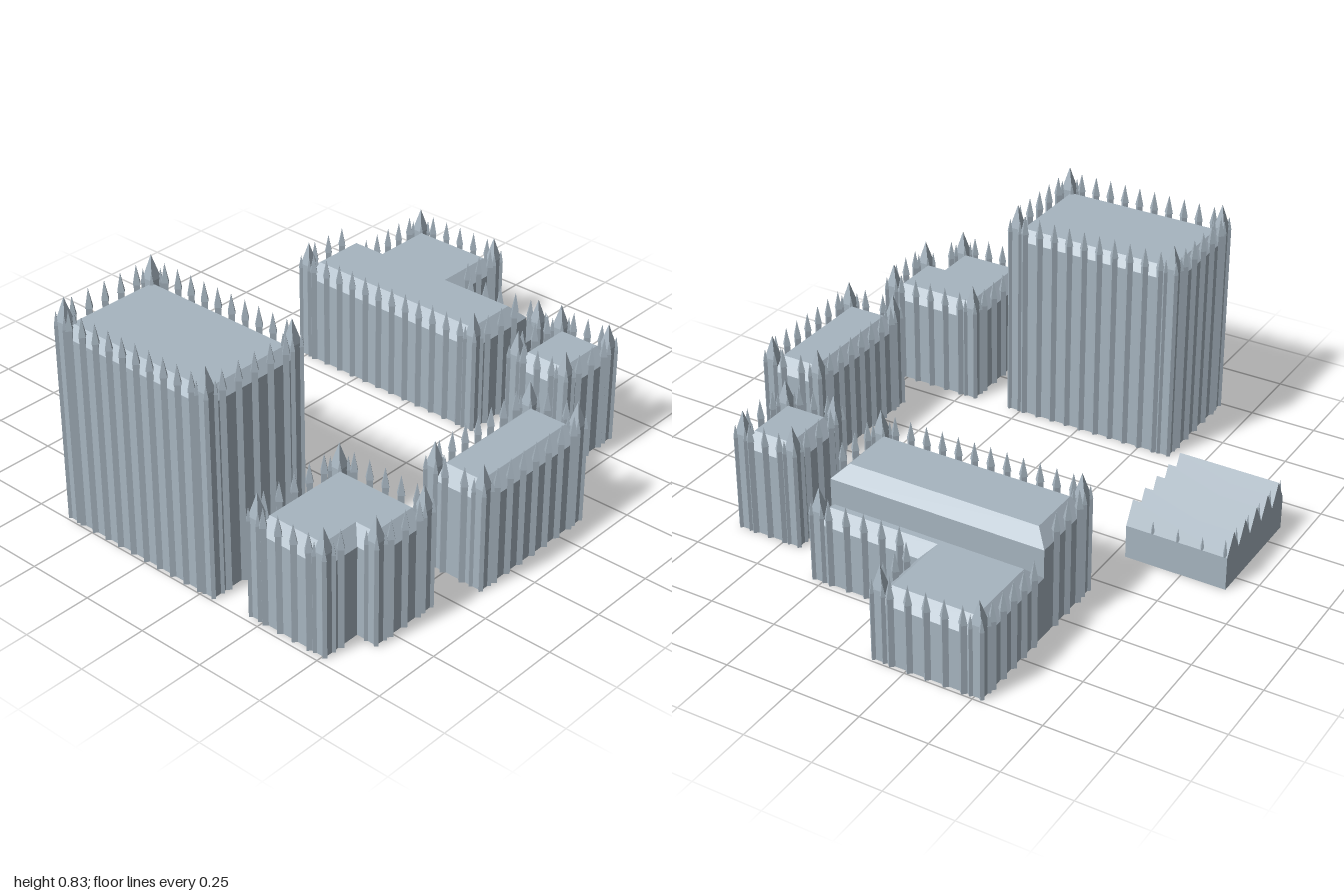
import * as THREE from 'three';
import { mergeGeometries } from 'three/addons/utils/BufferGeometryUtils.js';

const stone = new THREE.MeshStandardMaterial({ color: 0xa7b5c0, side: THREE.DoubleSide });
stone.name = 'blueGreyStone';

// Unindexed geometry with flat normals, from a list of [x, y, z] triangles' corners
function fromCorners(corners) {
  const g = new THREE.BufferGeometry();
  g.setAttribute('position', new THREE.Float32BufferAttribute(corners.flat(), 3));
  g.computeVertexNormals();
  return g;
}

function flat(g) {
  const f = g.toNonIndexed();
  f.deleteAttribute('uv');
  f.computeVertexNormals();
  return f;
}

function mesh(geometry, name) {
  const m = new THREE.Mesh(geometry, stone);
  m.name = name;
  return m;
}

// Four-sided shaft with a pointed cap
function pinnacle(x, z, shaftR, capR, y0, y1, tip, turn = 0) {
  const shaft = new THREE.CylinderGeometry(shaftR, shaftR, y1 - y0, 4, 1, true);
  const cap = new THREE.ConeGeometry(capR, tip - y1, 4);
  shaft.translate(0, (y0 + y1) / 2, 0);
  cap.translate(0, (y1 + tip) / 2, 0);
  return [shaft, cap].map(g => flat(g.rotateY(turn).translate(x, 0, z)));
}

// Move every corner of a right-angled outline inwards by d
function inset(pts, d) {
  const n = pts.length;
  const normal = (a, b) => {
    const l = Math.hypot(b[0] - a[0], b[1] - a[1]);
    return [(b[1] - a[1]) / l, -(b[0] - a[0]) / l];
  };
  return pts.map((p, i) => {
    const u = normal(pts[(i + n - 1) % n], p), v = normal(p, pts[(i + 1) % n]);
    return [p[0] + d * (u[0] + v[0]), p[1] + d * (u[1] + v[1])];
  });
}

// Walls, chamfered roof and floor over an outline of [x, z], anticlockwise from above
function bodyGeometry(pts, eave, chamfer) {
  const top = inset(pts, chamfer);
  const loops = [[pts, 0], [pts, eave], [top, eave + chamfer]];
  const at = (k, i) => [loops[k][0][i][0], loops[k][1], loops[k][0][i][1]];
  const out = [];
  for (let k = 0; k < 2; k++) {
    for (let i = 0; i < pts.length; i++) {
      const j = (i + 1) % pts.length;
      out.push(at(k, i), at(k, j), at(k + 1, j), at(k, i), at(k + 1, j), at(k + 1, i));
    }
  }
  const faces = THREE.ShapeUtils.triangulateShape(pts.map(p => new THREE.Vector2(p[0], -p[1])), []);
  for (const [a, b, c] of faces) out.push(at(2, a), at(2, b), at(2, c), at(0, a), at(0, c), at(0, b));
  return fromCorners(out);
}

// A building with pinnacles along its walls and heavier ones at outer corners
function building(name, pts, eave, chamfer, plainEdge = -1) {
  const group = new THREE.Group();
  group.name = name;
  group.add(mesh(bodyGeometry(pts, eave, chamfer), 'wallsAndRoof'));
  const n = pts.length, ribs = [], towers = [], centres = inset(pts, 0.02);
  pts.forEach((a, i) => {
    const b = pts[(i + 1) % n], p = pts[(i + n - 1) % n];
    // Ribs along the wall
    if (i !== plainEdge) {
      const steps = Math.floor(Math.hypot(b[0] - a[0], b[1] - a[1]) / 0.06);
      for (let k = 1; k < steps; k++) {
        const t = k / steps;
        ribs.push(...pinnacle(a[0] + (b[0] - a[0]) * t, a[1] + (b[1] - a[1]) * t,
          0.014, 0.017, 0, eave + 0.035, eave + 0.105));
      }
    }
    // Corner tower with four small points around its spire
    const convex = (a[0] - p[0]) * (a[1] - b[1]) - (p[1] - a[1]) * (b[0] - a[0]) > 0;
    if (!convex || i === plainEdge || i === (plainEdge + 1) % n && plainEdge >= 0) return;
    const [x, z] = centres[i];
    towers.push(...pinnacle(x, z, 0.03, 0.03, 0, eave + 0.045, eave + 0.13, Math.PI / 4));
    for (const sx of [-1, 1]) for (const sz of [-1, 1]) {
      towers.push(...pinnacle(x + sx * 0.02, z + sz * 0.02, 0.01, 0.011, 0, eave + 0.03, eave + 0.08));
    }
  });
  group.add(mesh(mergeGeometries(ribs), 'wallPinnacles'));
  group.add(mesh(mergeGeometries(towers), 'cornerTowers'));
  return group;
}

const rect = (x0, x1, z0, z1) => [[x0, z1], [x1, z1], [x1, z0], [x0, z0]];

// Low open shed with a row of five gabled roofs
function gabledShed() {
  const group = new THREE.Group();
  group.name = 'gabledShed';
  const x0 = -0.914, x1 = -0.54, z0 = -0.08, z1 = 0.352, eave = 0.125, ridge = 0.205;
  const bays = 5, half = (z1 - z0) / bays / 2, mid = (z0 + z1) / 2;
  const profile = [[z0, 0]];
  for (let i = 0; i <= bays * 2; i++) profile.push([z0 + i * half, i % 2 ? ridge : eave]);
  profile.push([z1, 0]);
  const out = [];
  for (let i = 0; i + 1 < profile.length; i++) {
    const [za, ya] = profile[i], [zb, yb] = profile[i + 1];
    const a = [x0, ya, za], b = [x1, ya, za], c = [x1, yb, zb], d = [x0, yb, zb];
    out.push(a, d, c, a, c, b);
  }
  group.add(mesh(fromCorners(out), 'roofAndLongWalls'));
  const shape = new THREE.Shape(profile.map(([z, y]) => new THREE.Vector2(z - mid, y)));
  for (const [x, turn] of [[x0, -Math.PI / 2], [x1, Math.PI / 2]]) {
    group.add(mesh(new THREE.ShapeGeometry(shape).rotateY(turn).translate(x, 0, mid), 'gableWall'));
  }
  // Small points along the eaves and in the valleys
  const points = [];
  const point = (x, z, h) => points.push(flat(new THREE.ConeGeometry(0.009, h, 4).translate(x, eave + h / 2, z)));
  for (const z of [z0 + 0.005, z1 - 0.005]) for (const x of [-0.82, -0.73, -0.637]) point(x, z, 0.048);
  for (let i = 0; i <= bays; i++) {
    point(x0 + 0.011, Math.min(Math.max(z0 + i * half * 2, z0 + 0.005), z1 - 0.005), 0.07);
  }
  group.add(mesh(mergeGeometries(points), 'eavePoints'));
  return group;
}

export function createModel() {
  const model = new THREE.Group();
  model.name = 'castleBuildings';
  model.add(
    building('tallKeep', rect(-0.368, 0.297, 0.568, 0.985), 0.705, 0.035),
    building('hall', rect(-0.526, 0.285, -0.608, -0.312), 0.33, 0.048, 2),
    building('rearWing', [[-0.526, -0.608], [0.285, -0.608], [0.285, -0.722], [-0.128, -0.722],
      [-0.128, -0.985], [-0.526, -0.985]], 0.225, 0.046, 0),
    building('smallTower', rect(0.437, 0.678, -0.595, -0.312), 0.33, 0.046),
    building('sideHouse', rect(0.664, 0.898, -0.125, 0.397), 0.33, 0.046),
    building('notchedHouse', [[0.447, 0.972], [0.757, 0.972], [0.757, 0.825], [0.834, 0.825],
      [0.834, 0.563], [0.447, 0.563]], 0.33, 0.046),
    gabledShed(),
  );
  return model;
}
